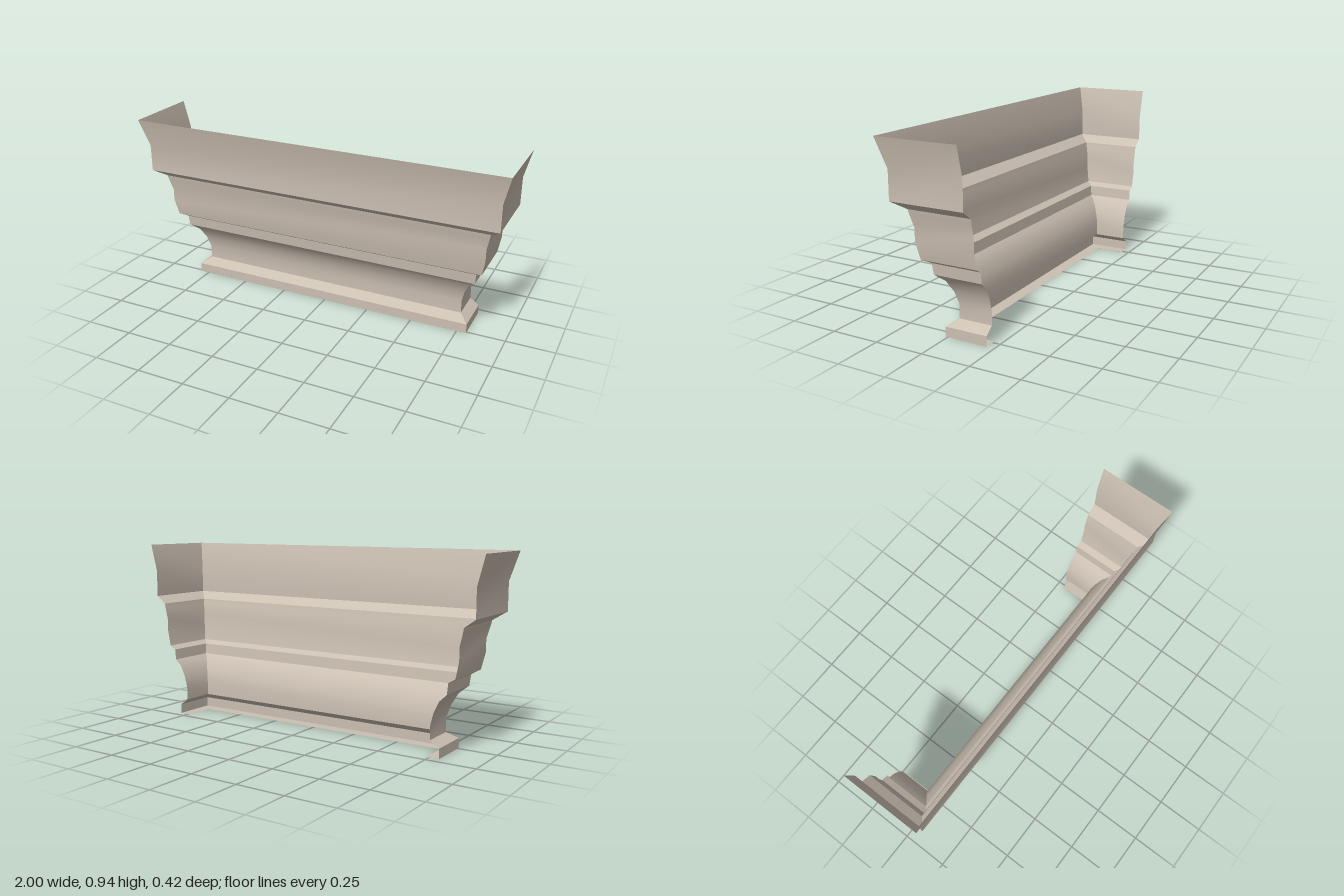
import * as THREE from 'three';

// Moulding bands from bottom to top: [projection, height]; each band is smooth, edges between bands are sharp.
const bands = {
  bottomLip: [[-0.055, 0], [0.01, 0]],
  baseFillet: [[0.01, 0], [0.01, 0.05]],
  baseBevel: [[0.01, 0.05], [-0.037, 0.083]],
  cove: [[-0.037, 0.083], [-0.037, 0.155], [-0.022, 0.213], [0.005, 0.27], [0.042, 0.305]],
  middleFillet: [[0.042, 0.305], [0.048, 0.361]],
  lowerSoffit: [[0.048, 0.361], [0.082, 0.381]],
  ogee: [[0.082, 0.381], [0.098, 0.465], [0.098, 0.53], [0.113, 0.595], [0.117, 0.617]],
  upperSoffit: [[0.117, 0.617], [0.172, 0.657]],
  crown: [[0.172, 0.657], [0.172, 0.8], [0.21, 0.945]],
};

const HALF = 0.79;   // half width at zero projection
const BACK = -0.21;  // open rear ends of the side returns

// Start and end of each wall for a given projection, mitred at the front corners.
const walls = {
  right: (d) => [[-HALF - d, BACK], [-HALF - d, d]],
  front: (d) => [[-HALF - d, d], [HALF + d, d]],
  left: (d) => [[HALF + d, d], [HALF + d, BACK]],
};

// Ruled strip through the profile points of one band along one wall.
function strip(profile, wall) {
  const positions = [], index = [];
  profile.forEach(([d, y], i) => {
    for (const [x, z] of wall(d)) positions.push(x, y, z);
    if (i > 0) {
      const a = 2 * (i - 1);
      index.push(a, a + 1, a + 3, a, a + 3, a + 2);
    }
  });
  const geometry = new THREE.BufferGeometry();
  geometry.setAttribute('position', new THREE.Float32BufferAttribute(positions, 3));
  geometry.setIndex(index);
  geometry.computeVertexNormals();
  return geometry;
}

export function createModel() {
  const stone = new THREE.MeshStandardMaterial({ color: 0xcbbfb2, side: THREE.DoubleSide });
  stone.name = 'warm stone';

  const model = new THREE.Group();
  model.name = 'cornice';
  for (const [side, wall] of Object.entries(walls)) {
    const group = new THREE.Group();
    group.name = `${side}Moulding`;
    for (const [name, profile] of Object.entries(bands)) {
      const mesh = new THREE.Mesh(strip(profile, wall), stone);
      mesh.name = name;
      group.add(mesh);
    }
    model.add(group);
  }
  return model;
}
